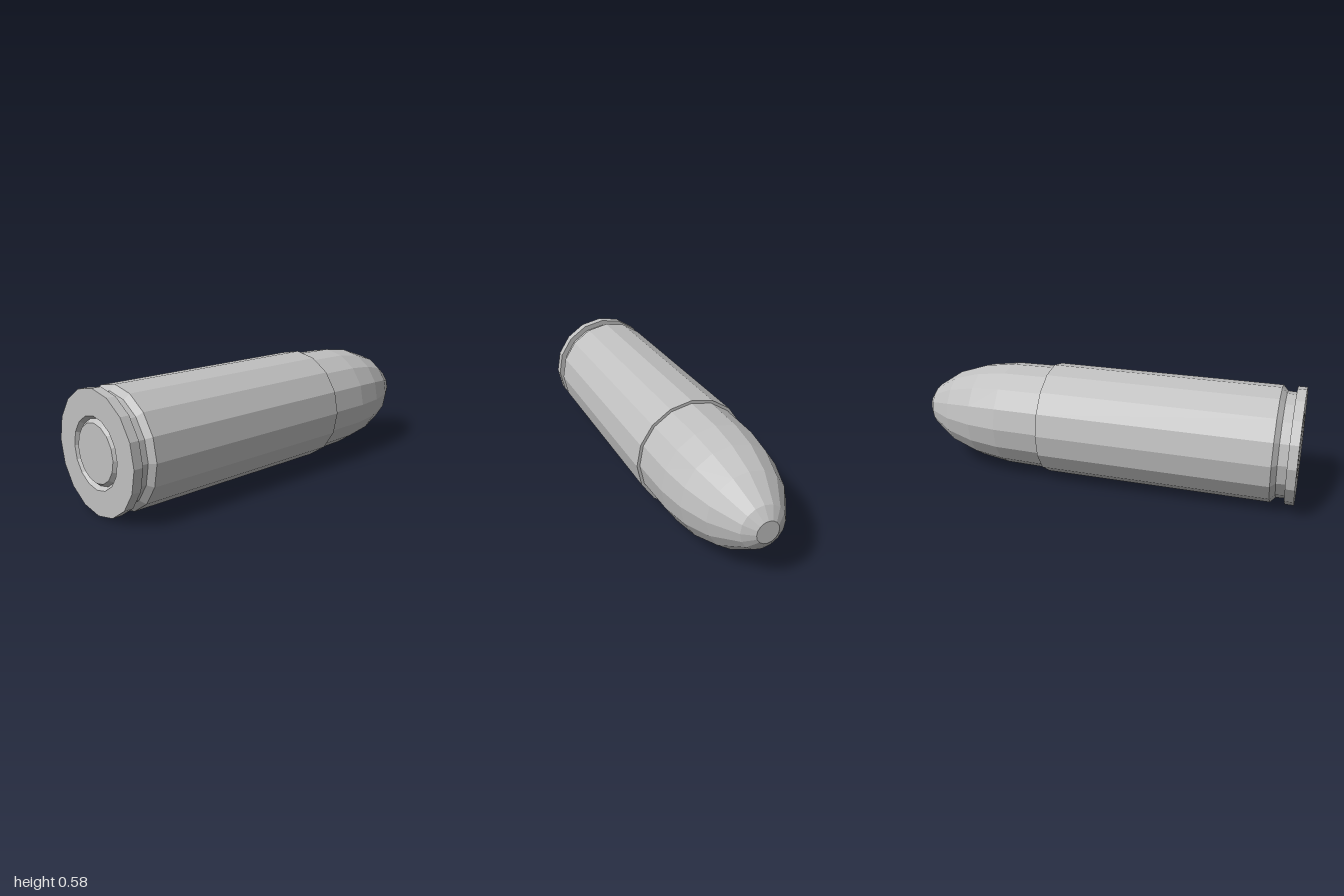
import * as THREE from 'three';

const RADIUS = 0.291;

export function createModel() {
  const group = new THREE.Group();
  group.name = 'cartridge';
  const metal = new THREE.MeshStandardMaterial({ color: 0xc0c0c0, flatShading: true });
  metal.name = 'grey metal';

  // Sixteen-sided turned part; profile is [radius, z] from back to front
  function turned(name, profile) {
    const points = profile.map(([r, z]) => new THREE.Vector2(r, z));
    const geometry = new THREE.LatheGeometry(points, 16);
    geometry.rotateX(Math.PI / 2);
    geometry.rotateZ(-0.01);
    const mesh = new THREE.Mesh(geometry, metal);
    mesh.name = name;
    mesh.position.y = RADIUS + 0.002;
    group.add(mesh);
  }

  // Rounded nose with a small flat tip
  turned('bullet', [
    [0, -1], [0.056, -1], [0.112, -0.96], [0.2, -0.825],
    [0.25, -0.675], [0.272, -0.52], [0.276, -0.28],
  ]);

  // Case with mouth lip, bevelled shoulder, extractor groove and rim
  turned('casing', [
    [0.274, -0.28], [RADIUS, -0.28], [RADIUS, 0.885], [0.264, 0.91],
    [0.262, 0.955], [RADIUS, 0.955], [RADIUS, 1], [0.169, 1], [0.154, 0.98],
  ]);

  // Primer cap inside the V-shaped ring groove
  turned('primer', [[0.154, 0.98], [0.138, 1], [0, 1]]);

  return group;
}
